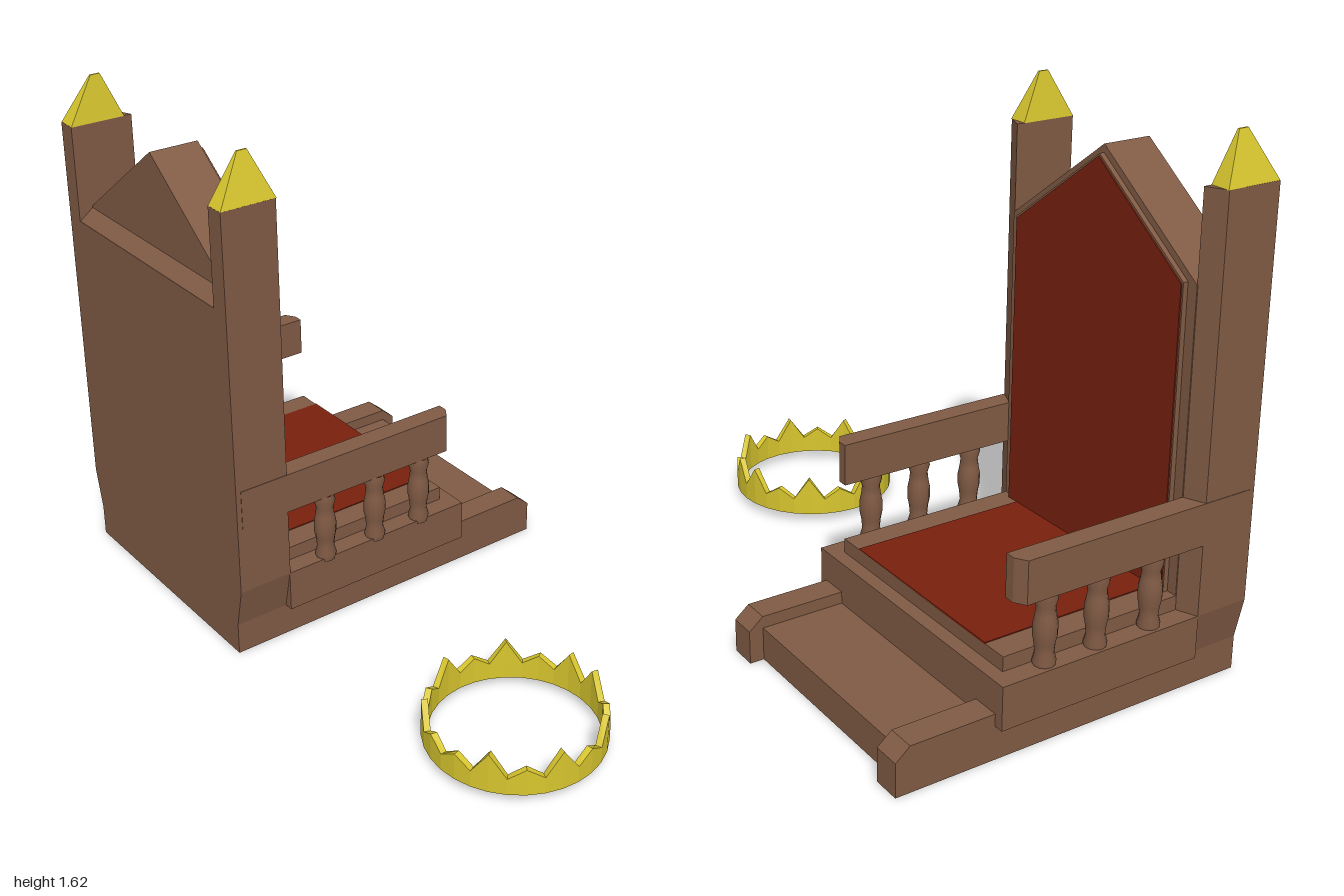
import * as THREE from 'three';

const wood = new THREE.MeshStandardMaterial({ name: 'brown wood', color: 0x805a44 });
const gold = new THREE.MeshStandardMaterial({ name: 'gold', color: 0xd8c62e });
const velvet = new THREE.MeshStandardMaterial({ name: 'red velvet', color: 0x78200e });

function add(parent, name, geometry, material = wood) {
  const mesh = new THREE.Mesh(geometry, material);
  mesh.name = name;
  parent.add(mesh);
  return mesh;
}

// Box from its low and high corner
function box(x0, x1, y0, y1, z0, z1) {
  return new THREE.BoxGeometry(x1 - x0, y1 - y0, z1 - z0)
    .translate((x0 + x1) / 2, (y0 + y1) / 2, (z0 + z1) / 2);
}

// Outline extruded along z, or along x / y after turning
function extrude(points, depth) {
  const shape = new THREE.Shape(points.map(([x, y]) => new THREE.Vector2(x, y)));
  return new THREE.ExtrudeGeometry(shape, { depth, bevelEnabled: false });
}
const alongZ = (xy, z0, z1) => extrude(xy, z1 - z0).translate(0, 0, z0);
const alongX = (zy, x0, x1) => extrude(zy, x1 - x0).rotateY(-Math.PI / 2).translate(x1, 0, 0);
const alongY = (xz, y0, y1) => extrude(xz, y1 - y0).rotateX(Math.PI / 2).translate(0, y1, 0);

// Pointed cap: a box whose top is pinched to a short ridge near its inner edge
function spire(side) {
  const g = box(-0.0325, 0.0325, 0, 0.145, 0.405, 0.587).toNonIndexed();
  const p = g.attributes.position;
  for (let i = 0; i < p.count; i++) {
    if (p.getY(i) < 0.1) continue;
    p.setX(i, -side * 0.013 + Math.sign(p.getX(i)) * 0.003);
    p.setZ(i, p.getZ(i) > 0.5 ? 0.5 : 0.468);
  }
  g.computeVertexNormals();
  return g.translate(side * 0.43, 1.477, 0);
}

// Pentagon with a gabled top
const gable = (w, y0, y1, y2) => [[-w, y0], [w, y0], [w, y1], [0, y2], [-w, y1]];

// Ring with sixteen points, alternating tall and short and mirrored about z
function crownGeometry() {
  const n = 32, outer = 0.272, inner = 0.252, pos = [];
  const point = (i, r, top) => {
    const k = i % n, a = (k / n) * Math.PI * 2;
    const m = k <= 16 ? k : n - k;
    const height = m % 2 === 0 ? 0.085 : m % 4 === 3 ? 0.16 : 0.118;
    return [r * Math.sin(a), top ? height : 0.03, r * Math.cos(a)];
  };
  const quad = (a, b, c, d) => pos.push(...a, ...b, ...c, ...a, ...c, ...d);
  for (let i = 0; i < n; i++) {
    const j = i + 1;
    const ob = point(i, outer, 0), ob2 = point(j, outer, 0), ot = point(i, outer, 1), ot2 = point(j, outer, 1);
    const ib = point(i, inner, 0), ib2 = point(j, inner, 0), it = point(i, inner, 1), it2 = point(j, inner, 1);
    quad(ob, ob2, ot2, ot);
    quad(ib2, ib, it, it2);
    quad(ot, ot2, it2, it);
    quad(ib, ib2, ob2, ob);
  }
  const g = new THREE.BufferGeometry();
  g.setAttribute('position', new THREE.Float32BufferAttribute(pos, 3));
  g.computeVertexNormals();
  return g;
}

export function createModel() {
  const model = new THREE.Group();
  model.name = 'throneAndCrown';
  const throne = new THREE.Group();
  throne.name = 'throne';
  throne.position.x = -0.5375;
  model.add(throne);

  // Base and seat
  add(throne, 'baseStep', box(-0.4325, 0.4325, 0, 0.105, -0.54, 0.42));
  add(throne, 'seatBlock', box(-0.4625, 0.4625, 0.105, 0.24, -0.27, 0.41));
  add(throne, 'seatRim', box(-0.4, 0.4, 0.24, 0.285, -0.225, 0.4));
  add(throne, 'seatCushion', box(-0.318, 0.318, 0.282, 0.288, -0.225, 0.365), velvet);

  // Backrest: body narrowing to the base, gabled wall, ledge and padding
  add(throne, 'backBody', alongZ([[-0.4325, 0], [0.4325, 0], [0.4325, 0.105], [0.4625, 0.24],
    [0.4625, 1.17], [-0.4625, 1.17], [-0.4625, 0.24], [-0.4325, 0.105]], 0.41, 0.587));
  add(throne, 'backWall', alongZ(gable(0.4, 0.24, 1.21, 1.505), 0.378, 0.54));
  add(throne, 'backLedge', alongX([[0.53, 1.165], [0.586, 1.17], [0.54, 1.205], [0.53, 1.205]], -0.4, 0.4));
  add(throne, 'backPanel', alongZ(gable(0.365, 0.285, 1.21, 1.48), 0.362, 0.38));
  add(throne, 'backPadding', alongZ(gable(0.36, 0.287, 1.205, 1.473), 0.358, 0.363), velvet);

  // Turned baluster profile
  const turned = [[0.03, 0], [0.034, 0.02], [0.027, 0.045], [0.03, 0.075], [0.035, 0.1], [0.035, 0.135],
    [0.03, 0.16], [0.027, 0.185], [0.034, 0.21], [0.03, 0.235]].map(([r, y]) => new THREE.Vector2(r, y));

  for (const side of [-1, 1]) {
    const label = side > 0 ? 'left' : 'right';
    const span = (a, b) => (side > 0 ? [a, b] : [-b, -a]);

    // Floor rail with a bevelled toe
    add(throne, label + 'FloorRail', alongX([[-0.585, 0], [0.42, 0], [0.42, 0.143], [-0.54, 0.143], [-0.585, 0.105]],
      ...span(0.345, 0.4325)));

    // Post with a slanted front, and its cap
    add(throne, label + 'Post', alongY([[side * 0.4625, 0.408], [side * 0.4625, 0.587],
      [side * 0.398, 0.587], [side * 0.398, 0.38]], 0.24, 1.478));
    add(throne, label + 'Spire', spire(side), gold);

    // Armrest with its outer front corner cut
    add(throne, label + 'Armrest', alongY([[side * 0.464, -0.2], [side * 0.464, 0.57], [side * 0.398, 0.57],
      [side * 0.398, -0.222], [side * 0.43, -0.222]], 0.462, 0.592));
    for (const z of [0.26, 0.07, -0.105]) {
      const baluster = add(throne, label + 'Baluster', new THREE.LatheGeometry(turned, 12));
      baluster.position.set(side > 0 ? 0.4405 : -0.4225, 0.23, z);
    }
  }

  // Crown beside the throne
  const crown = add(model, 'crown', crownGeometry(), gold);
  crown.position.set(0.727, 0, 0.175);
  return model;
}
